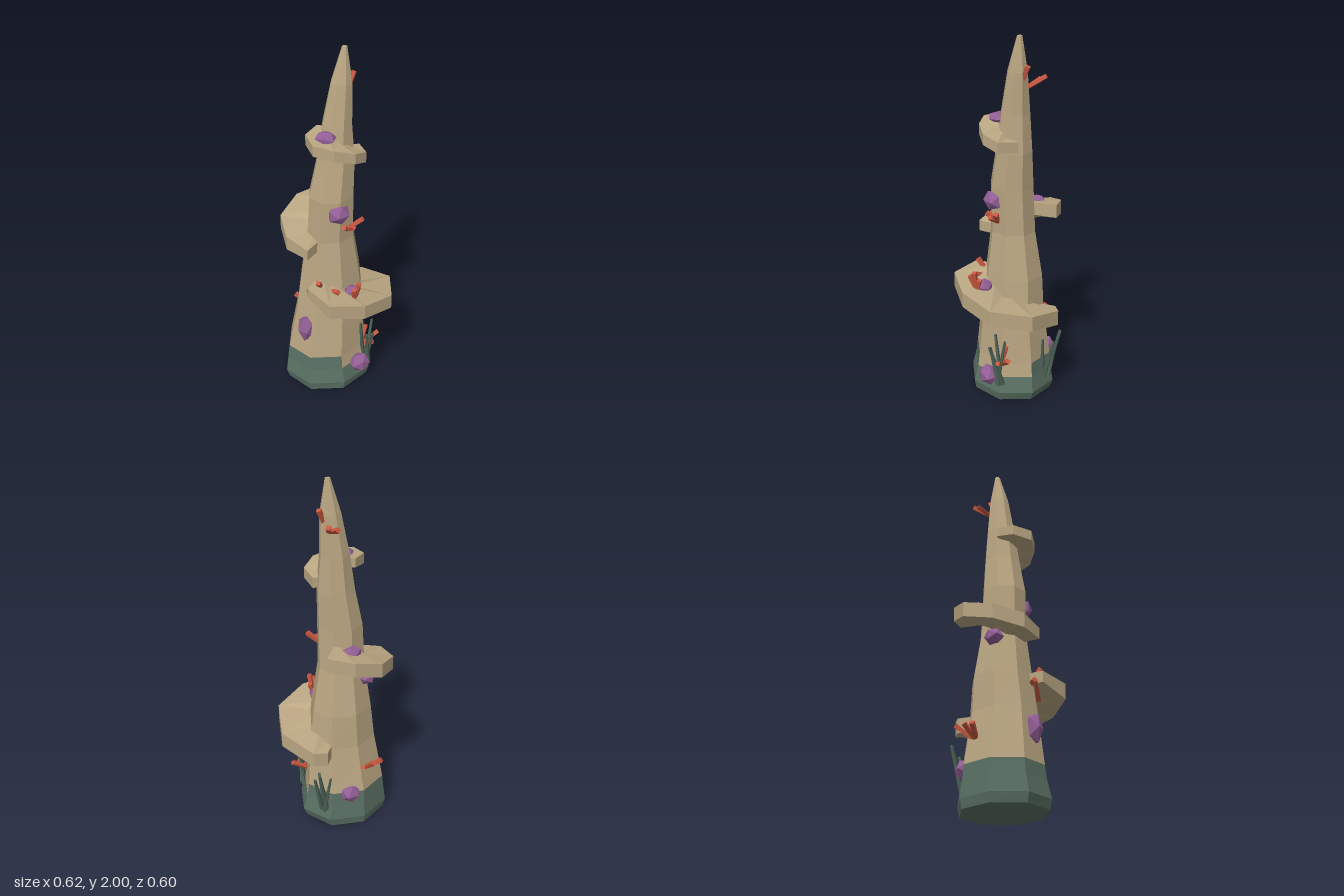
import * as THREE from 'three';

const flat = (name, color) => {
  const m = new THREE.MeshStandardMaterial({ color, flatShading: true });
  m.name = name;
  return m;
};
const V = (x, y, z) => new THREE.Vector3(x, y, z);

// Skins a list of equal-length rings; pick(row, side) filters the faces, -1 and Infinity rows are the end caps
function loft(rings, pick = () => true) {
  const pos = [];
  const tri = (...pts) => pts.forEach((p) => pos.push(p.x, p.y, p.z));
  const n = rings[0].length;
  for (let i = 0; i < rings.length - 1; i++) {
    for (let j = 0; j < n; j++) {
      if (!pick(i, j)) continue;
      const k = (j + 1) % n;
      const [a, b, c, d] = [rings[i][j], rings[i][k], rings[i + 1][k], rings[i + 1][j]];
      tri(a, b, c);
      tri(a, c, d);
    }
  }
  const first = rings[0], last = rings[rings.length - 1];
  for (let j = 1; j < n - 1; j++) {
    if (pick(-1, j)) tri(first[0], first[j + 1], first[j]);
    if (pick(Infinity, j)) tri(last[0], last[j], last[j + 1]);
  }
  const g = new THREE.BufferGeometry();
  g.setAttribute('position', new THREE.Float32BufferAttribute(pos, 3));
  g.computeVertexNormals();
  return g;
}

// Spire levels: height, centre x, centre z, radius x, radius z
const LEVELS = [
  [0, -0.053, -0.033, 0.245, 0.225],
  [0.05, -0.05, -0.033, 0.262, 0.234],
  [0.14, -0.053, -0.04, 0.243, 0.217],
  [0.22, -0.053, -0.041, 0.233, 0.208],
  [0.5, -0.038, -0.03, 0.198, 0.173],
  [0.7, -0.032, -0.035, 0.174, 0.157],
  [0.95, -0.034, -0.03, 0.134, 0.122],
  [1.2, -0.03, -0.022, 0.125, 0.118],
  [1.4, -0.005, -0.022, 0.105, 0.098],
  [1.6, 0.005, -0.025, 0.08, 0.08],
  [1.82, 0.028, -0.025, 0.057, 0.053],
  [2, 0.045, -0.028, 0.014, 0.014],
];
const SIDES = 8;

// Centre of the spire at a given height
function axisAt(y) {
  const i = Math.max(1, LEVELS.findIndex((l) => l[0] >= y));
  const a = LEVELS[i - 1], b = LEVELS[i];
  const t = (y - a[0]) / (b[0] - a[0]);
  return V(a[1] + (b[1] - a[1]) * t, y, a[2] + (b[2] - a[2]) * t);
}

export function createModel() {
  const root = new THREE.Group();
  root.name = 'coralSpire';
  const stone = flat('sandstone', 0xbaa682);
  const moss = flat('moss', 0x5a7063);
  const grass = flat('seaGrass', 0x4c6257);
  const purple = flat('purpleCrystal', 0x935f96);
  const red = flat('redCoral', 0xcb5941);

  const add = (parent, name, geometry, material) => {
    const mesh = new THREE.Mesh(geometry, material);
    mesh.name = name;
    parent.add(mesh);
    return mesh;
  };
  const group = (name) => {
    const g = new THREE.Group();
    g.name = name;
    root.add(g);
    return g;
  };

  // Leaning spire, with the foot overgrown higher on the sides and back than at the front
  const rings = LEVELS.map(([y, cx, cz, rx, rz]) =>
    Array.from({ length: SIDES }, (_, j) => {
      const t = (j / SIDES) * Math.PI * 2;
      return V(cx + Math.sin(t) * rx, y, cz + Math.cos(t) * rz);
    }));
  const mossy = (row, side) => row < 2 || (row === 2 && side > 1);
  add(root, 'spire', loft(rings, (r, s) => !mossy(r, s)), stone);
  add(root, 'mossyFoot', loft(rings, mossy), moss);

  // Spiral ledges: thickness at start, middle and end, then outer corners as x, top height, z
  const ledges = [
    ['lowerLedge', [0.06, 0.085, 0.08], [[-0.225, 0.71, 0.1], [-0.165, 0.69, 0.265], [0.025, 0.655, 0.297],
      [0.22, 0.615, 0.225], [0.31, 0.58, 0.02], [0.225, 0.535, -0.178], [0.15, 0.525, -0.2]]],
    ['middleLedge', [0.07, 0.08, 0.06], [[0.15, 1.115, -0.195], [0.035, 1.095, -0.285], [-0.12, 1.055, -0.3],
      [-0.255, 1.01, -0.2], [-0.285, 0.98, -0.035], [-0.215, 0.95, 0.09]]],
    ['upperLedge', [0.05, 0.058, 0.058], [[-0.08, 1.575, -0.09], [-0.165, 1.565, -0.035], [-0.17, 1.555, 0.075],
      [-0.085, 1.54, 0.14], [0.02, 1.515, 0.165], [0.1, 1.485, 0.12], [0.112, 1.475, 0.01]]],
  ];
  for (const [name, [start, middle, end], corners] of ledges) {
    const sections = corners.map(([x, y, z], i) => {
      const outer = V(x, y, z);
      const inner = axisAt(y).lerp(outer, 0.35);
      const thick = i === 0 ? start : i === corners.length - 1 ? end : middle;
      const down = V(0, -thick, 0);
      return [inner, outer, outer.clone().add(down), inner.clone().add(down)];
    });
    add(root, name, loft(sections), stone);
  }

  // Faceted crystals: position, then half sizes
  const crystals = group('crystals');
  [
    [[0.06, 0.14, 0.165], [0.064, 0.058, 0.055]],
    [[-0.215, 0.395, 0.045], [0.052, 0.088, 0.052]],
    [[0.01, 0.21, -0.215], [0.064, 0.058, 0.052]],
    [[0.12, 0.505, 0.035], [0.055, 0.045, 0.06]],
    [[0.01, 0.66, 0.16], [0.045, 0.042, 0.045]],
    [[-0.13, 0.89, -0.13], [0.052, 0.047, 0.052]],
    [[-0.015, 1.09, -0.17], [0.06, 0.035, 0.04]],
    [[-0.035, 1.13, 0.085], [0.066, 0.058, 0.052]],
    [[-0.082, 1.56, 0.03], [0.058, 0.033, 0.058]],
  ].forEach(([p, s], i) => {
    const g = new THREE.IcosahedronGeometry(1, 0).rotateY(i * 0.7).scale(...s);
    add(crystals, 'crystal', g, purple).position.set(...p);
  });

  // Straight tapered stem between two points
  const stem = (parent, name, from, to, rFrom, rTo, sides, material) => {
    const a = V(...from), dir = V(...to).sub(a);
    const g = new THREE.CylinderGeometry(rTo, rFrom, dir.length(), sides).translate(0, dir.length() / 2, 0);
    const mesh = add(parent, name, g, material);
    mesh.position.copy(a);
    mesh.quaternion.setFromUnitVectors(V(0, 1, 0), dir.normalize());
  };

  // Coral clusters: shared root, then the branch tips
  const corals = group('corals');
  [
    [[0.06, 1.74, -0.065], [0.11, 1.8, -0.145], [0.055, 1.775, -0.145]],
    [[0.06, 1.76, -0.03], [0.105, 1.855, -0.045]],
    [[0.01, 1.02, 0.08], [-0.025, 1.07, 0.13], [0.085, 1.095, 0.125], [0.03, 1.06, 0.135]],
    [[0.005, 0.63, 0.2], [0.02, 0.755, 0.225], [-0.01, 0.73, 0.235], [0.03, 0.71, 0.2]],
    [[-0.12, 0.65, 0.07], [-0.17, 0.745, 0.12], [-0.08, 0.7, 0.185], [-0.21, 0.66, 0.06]],
    [[-0.2, 0.66, 0.07], [-0.14, 0.58, 0.12]],
    [[0.1, 0.21, 0.1], [0.2, 0.28, 0.11], [0.13, 0.33, 0.09], [0.15, 0.25, 0.15]],
    [[-0.08, 0.33, -0.19], [-0.16, 0.4, -0.26], [-0.02, 0.42, -0.285], [-0.1, 0.41, -0.275]],
  ].forEach(([base, ...tips]) =>
    tips.forEach((tip) => stem(corals, 'coralBranch', base, tip, 0.012, 0.016, 4, red)));

  // Sea grass tufts at the foot
  const tufts = group('seaGrass');
  [
    [[0.11, 0.1, 0.12], [0.08, 0.39, 0.13], [0.13, 0.35, 0.19], [0.16, 0.38, 0.11], [0.1, 0.33, 0.17]],
    [[0.13, 0.1, -0.15], [0.205, 0.395, -0.205], [0.15, 0.37, -0.23], [0.16, 0.34, -0.12], [0.21, 0.34, -0.16]],
  ].forEach(([base, ...tips]) =>
    tips.forEach((tip, i) => {
      const foot = [base[0] + (i % 2) * 0.02, base[1], base[2] + (i > 1 ? 0.015 : -0.01)];
      stem(tufts, 'grassBlade', foot, tip, 0.015, 0.008, 4, grass);
    }));

  return root;
}
